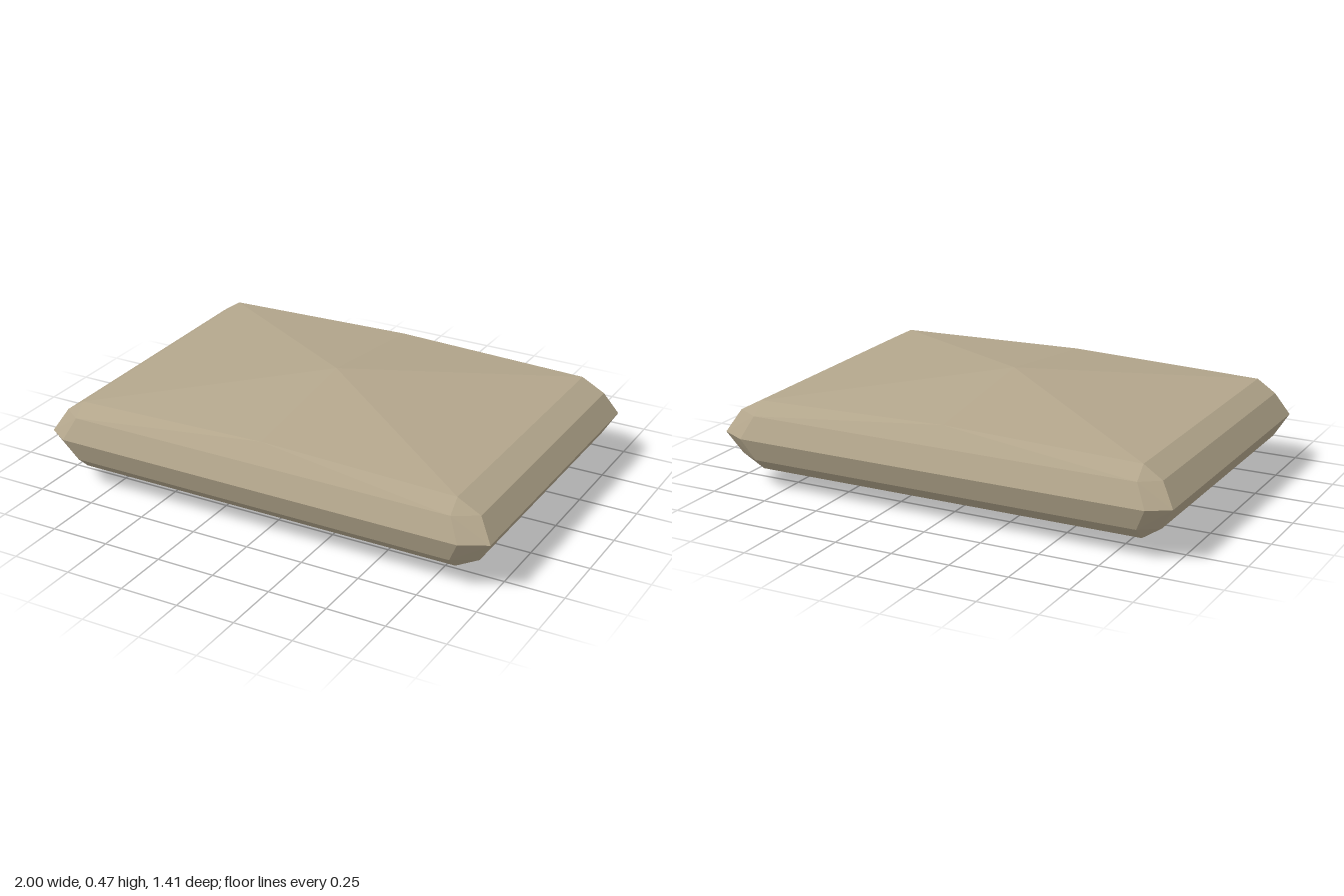
import * as THREE from 'three';
import { ConvexGeometry } from 'three/addons/geometries/ConvexGeometry.js';

export function createModel() {
  const group = new THREE.Group();
  const fabric = new THREE.MeshStandardMaterial({ color: 0xb3a68c, flatShading: true });
  fabric.name = 'beige fabric';

  const cx = -0.01, midY = 0.23;
  const points = [];
  const add = (x, y, z) => points.push(new THREE.Vector3(x, y, z));

  for (const sx of [-1, 1]) {
    for (const sz of [-1, 1]) {
      // widest ring, with cut corners
      add(sx, midY, sz * 0.645);
      add(cx + sx * 0.9, midY, sz * 0.703);
      for (const sy of [-1, 1]) {
        // bevel rings above and below the seam
        add(sx * 0.943, midY + sy * 0.095, sz * 0.61);
        add(cx + sx * 0.853, midY + sy * 0.095, sz * 0.667);
        // corners of the puffed panels
        add(cx + sx * 0.853, midY + sy * 0.148, sz * 0.61);
      }
    }
  }
  // raised middles of the front and back top edges
  for (const sz of [-1, 1]) add(cx, 0.4, sz * 0.61);
  // peaks of the top and bottom panels
  add(cx, 0.474, 0);
  add(cx, 0, 0);

  const cushion = new THREE.Mesh(new ConvexGeometry(points), fabric);
  cushion.name = 'cushion';
  group.add(cushion);
  return group;
}
